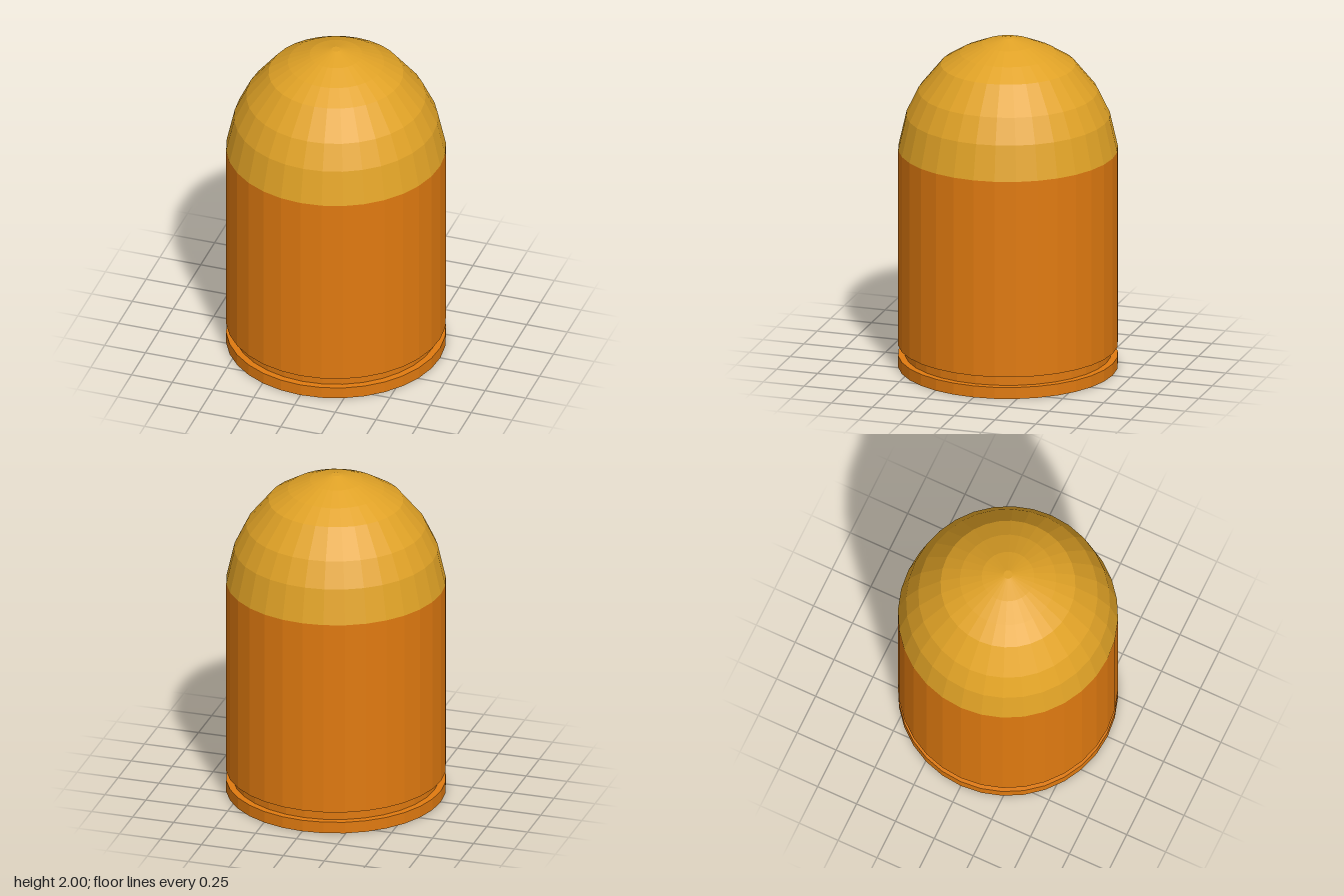
import * as THREE from 'three';

const SIDES = 32;

// Faceted solid of revolution from [radius, height] pairs, listed bottom to top
function turned(name, profile, material) {
  const points = profile.map(([r, y]) => new THREE.Vector2(r, y));
  const geometry = new THREE.LatheGeometry(points, SIDES).toNonIndexed();
  geometry.computeVertexNormals(); // one normal per facet
  const mesh = new THREE.Mesh(geometry, material);
  mesh.name = name;
  return mesh;
}

export function createModel() {
  const copper = new THREE.MeshStandardMaterial({ color: 0xe07a10 });
  copper.name = 'copper orange';
  const brass = new THREE.MeshStandardMaterial({ color: 0xe0a226 });
  brass.name = 'brass yellow';

  const R = 0.64, grooveR = 0.6;
  const rimTop = 0.07, grooveTop = 0.133, caseTop = 1.326;

  const group = new THREE.Group();
  group.name = 'cartridge';
  group.add(
    // Base rim with flat underside
    turned('rim', [[0, 0], [R, 0], [R, rimTop], [grooveR, rimTop]], copper),
    // Recessed extractor groove
    turned('groove', [[grooveR, rimTop], [grooveR, grooveTop]], copper),
    // Straight case wall
    turned('case', [[grooveR, grooveTop], [R, grooveTop], [R, caseTop]], copper),
    // Rounded nose with a tiny flat tip
    turned('nose', [
      [R, caseTop], [0.593, 1.533], [0.522, 1.68], [0.392, 1.84],
      [0.28, 1.91], [0.153, 1.966], [0.026, 2], [0, 2],
    ], brass),
  );
  return group;
}
